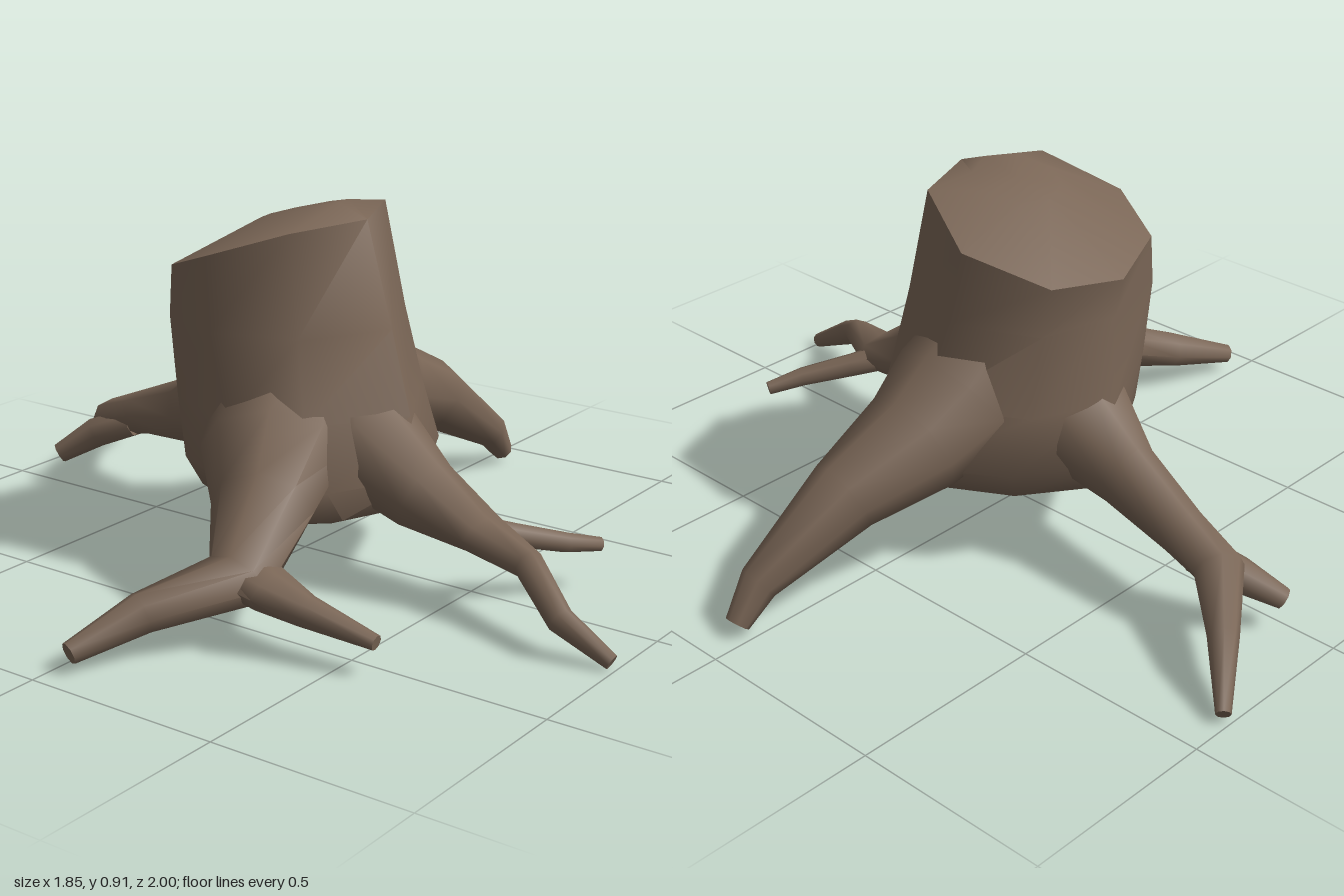
import * as THREE from 'three';
import { toCreasedNormals } from 'three/addons/utils/BufferGeometryUtils.js';

const bark = new THREE.MeshStandardMaterial({ color: 0x7a6656 });
bark.name = 'brown bark';

// Closed skin through rings of equally many points
function loft(rings, crease) {
  const n = rings[0].length, pos = [], idx = [];
  rings.forEach(r => r.forEach(p => pos.push(p.x, p.y, p.z)));
  for (let i = 0; i < rings.length - 1; i++) {
    for (let j = 0; j < n; j++) {
      const a = i * n + j, b = i * n + (j + 1) % n;
      idx.push(a, a + n, b, b, a + n, b + n);
    }
  }
  [0, rings.length - 1].forEach((r, end) => {
    const c = new THREE.Vector3();
    rings[r].forEach(p => c.addScaledVector(p, 1 / n));
    const k = pos.length / 3;
    pos.push(c.x, c.y, c.z);
    for (let j = 0; j < n; j++) {
      const a = r * n + j, b = r * n + (j + 1) % n;
      idx.push(k, end ? b : a, end ? a : b);
    }
  });
  const g = new THREE.BufferGeometry();
  g.setAttribute('position', new THREE.Float32BufferAttribute(pos, 3));
  g.setIndex(idx);
  return toCreasedNormals(g, crease);
}

// Root through stations [x, y, z, half width, half height]
function rootGeometry(stations, sides = 8) {
  const pts = stations.map(s => new THREE.Vector3(s[0], s[1], s[2]));
  const last = pts.length - 1;
  const up = new THREE.Vector3(0, 1, 0);
  const rings = stations.map(([, , , w, h], i) => {
    const t = pts[Math.min(i + 1, last)].clone().sub(pts[Math.max(i - 1, 0)]).normalize();
    const side = t.clone().cross(up).normalize();
    const top = side.clone().cross(t);
    return Array.from({ length: sides }, (_, j) => {
      const a = Math.PI / 2 + j * 2 * Math.PI / sides;
      return pts[i].clone()
        .addScaledVector(side, w * Math.cos(a))
        .addScaledVector(top, h * Math.sin(a));
    });
  });
  return loft(rings, 1.15);
}

// Trunk cross-sections: height and [x, z] going round from +x towards +z
const trunkSections = [
  [0.14, [[0.2, 0], [0.14, 0.13], [-0.02, 0.2], [-0.12, 0.17], [-0.2, 0.08], [-0.11, -0.1], [0.04, -0.2], [0.14, -0.12]]],
  [0.19, [[0.36, -0.01], [0.24, 0.21], [-0.03, 0.33], [-0.2, 0.26], [-0.34, 0.13], [-0.19, -0.18], [0.07, -0.34], [0.24, -0.22]]],
  [0.27, [[0.42, -0.03], [0.28, 0.22], [-0.03, 0.36], [-0.25, 0.25], [-0.38, 0.09], [-0.23, -0.2], [0.06, -0.38], [0.28, -0.25]]],
  [0.42, [[0.37, -0.04], [0.26, 0.18], [-0.02, 0.33], [-0.25, 0.18], [-0.32, 0.01], [-0.22, -0.23], [0.04, -0.36], [0.24, -0.27]]],
  [0.62, [[0.3, -0.06], [0.22, 0.15], [0, 0.26], [-0.22, 0.14], [-0.29, -0.07], [-0.21, -0.26], [0, -0.32], [0.2, -0.27]]],
];
// Sawn top: slopes down to the back, slightly domed
const rim = [[0.27, 0.8, -0.08], [0.2, 0.885, 0.1], [0, 0.88, 0.185], [-0.2, 0.868, 0.1],
  [-0.27, 0.8, -0.1], [-0.2, 0.745, -0.26], [-0.01, 0.72, -0.335], [0.18, 0.74, -0.28]];

function trunkGeometry() {
  const rings = trunkSections.map(([y, ring]) => ring.map(([x, z]) => new THREE.Vector3(x, y, z)));
  rings.push(rim.map(p => new THREE.Vector3(...p)));
  rings.push(rim.map(([x, , z]) => {
    const zi = z * 0.4 + 0.03;
    return new THREE.Vector3(x * 0.4, 0.885 + 0.25 * zi, zi);
  }));
  return loft(rings, 0.95);
}

// Main roots begin high inside the trunk so that they leave it as buttresses
const roots = {
  leftRoot: [[0.1, 0.55, -0.06, 0.15, 0.14], [0.25, 0.41, -0.04, 0.18, 0.16], [0.39, 0.33, -0.03, 0.145, 0.135],
    [0.6, 0.265, -0.01, 0.095, 0.095], [0.83, 0.11, 0.04, 0.047, 0.05], [0.9, 0.03, 0.04, 0.03, 0.03]],
  rightRoot: [[-0.08, 0.5, -0.02, 0.15, 0.14], [-0.22, 0.34, 0.07, 0.18, 0.155], [-0.37, 0.25, 0.15, 0.125, 0.115],
    [-0.56, 0.15, 0.225, 0.095, 0.065], [-0.75, 0.1, 0.1, 0.055, 0.048], [-0.92, 0.045, 0.035, 0.028, 0.026]],
  rightRootFork: [[-0.53, 0.16, 0.2, 0.09, 0.05], [-0.555, 0.14, 0.32, 0.07, 0.045],
    [-0.55, 0.115, 0.41, 0.042, 0.038], [-0.535, 0.08, 0.59, 0.02, 0.018]],
  frontRoot: [[-0.02, 0.52, 0.06, 0.14, 0.13], [-0.04, 0.34, 0.21, 0.145, 0.135], [-0.06, 0.245, 0.4, 0.095, 0.095],
    [-0.065, 0.185, 0.57, 0.07, 0.045], [-0.125, 0.165, 0.73, 0.037, 0.037], [-0.205, 0.09, 0.86, 0.03, 0.035],
    [-0.2, 0.02, 0.99, 0.018, 0.02]],
  frontRootFork: [[-0.07, 0.195, 0.52, 0.05, 0.035], [0.02, 0.165, 0.6, 0.037, 0.03],
    [0.12, 0.135, 0.69, 0.028, 0.025], [0.205, 0.115, 0.735, 0.018, 0.018]],
  backRoot: [[0.01, 0.5, -0.08, 0.14, 0.13], [0.05, 0.35, -0.23, 0.155, 0.135], [0.075, 0.265, -0.44, 0.075, 0.09],
    [0.115, 0.215, -0.64, 0.06, 0.06], [0.13, 0.175, -0.76, 0.062, 0.052], [0.27, 0.12, -0.885, 0.037, 0.037],
    [0.39, 0.025, -0.985, 0.018, 0.02]],
  backRootFork: [[0.12, 0.18, -0.68, 0.06, 0.04], [0.075, 0.14, -0.78, 0.045, 0.042],
    [0.01, 0.08, -0.86, 0.026, 0.028]],
};

export function createModel() {
  const stump = new THREE.Group();
  stump.name = 'treeStump';
  const add = (name, geometry) => {
    const mesh = new THREE.Mesh(geometry, bark);
    mesh.name = name;
    stump.add(mesh);
  };
  add('trunk', trunkGeometry());
  for (const [name, stations] of Object.entries(roots)) add(name, rootGeometry(stations));
  return stump;
}
